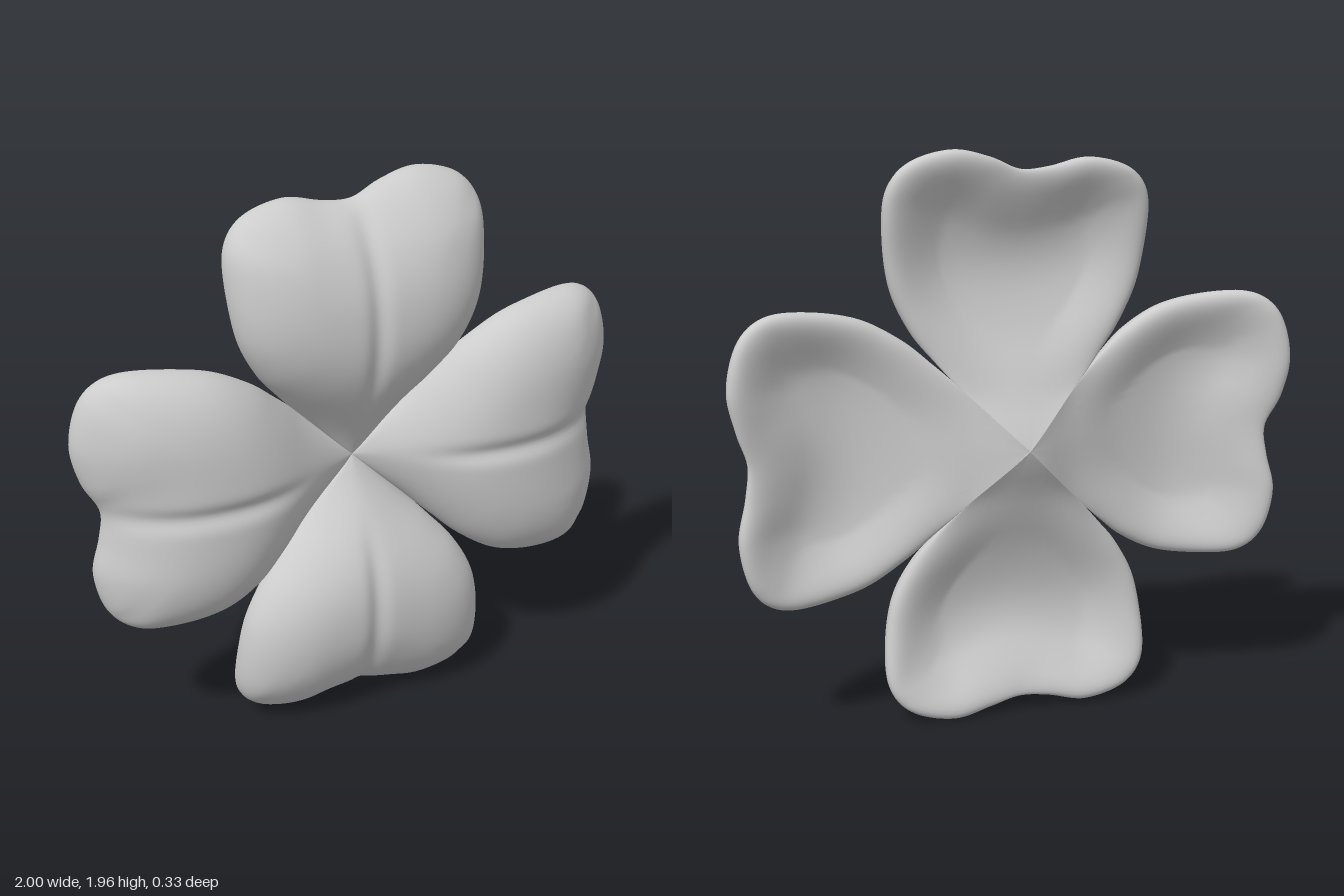
import * as THREE from 'three';

const RAYS = 128, RINGS = 28;

// Half outline of a heart-shaped leaf: u along the leaf, v across it
const HALF = [[0.24, 0.24], [0.3, 0.294], [0.4, 0.378], [0.55, 0.457], [0.75, 0.492], [0.88, 0.478],
  [0.962, 0.4], [0.998, 0.25], [0.97, 0.11]];

// Height profile sampled at u = 0, 0.2 ... 1
function profile(heights) {
  const curve = new THREE.SplineCurve(heights.map((z, i) => new THREE.Vector2(i * 0.2, z)));
  return (u) => curve.getPoint(THREE.MathUtils.clamp(u, 0, 1)).y;
}
const rimHeight = profile([-0.165, -0.07, -0.005, 0.0, -0.03, -0.065]);
const frontHeight = profile([-0.03, 0.09, 0.16, 0.17, 0.14, 0.075]);
const backHeight = profile([-0.165, -0.085, 0.005, 0.045, 0.02, -0.055]);

// Shortest distance from a point to a polyline
function distanceTo(line, x, y) {
  let best = Infinity;
  for (let i = 1; i < line.length; i++) {
    const a = line[i - 1], b = line[i];
    const dx = b.x - a.x, dy = b.y - a.y;
    const k = THREE.MathUtils.clamp(((x - a.x) * dx + (y - a.y) * dy) / (dx * dx + dy * dy), 0, 1);
    best = Math.min(best, Math.hypot(a.x + dx * k - x, a.y + dy * k - y));
  }
  return Math.max(best, 1e-6);
}

// Each lobe has its own reach and width
function lobe(side, [reach, wide]) {
  return HALF.map(([u, v]) => {
    const k = THREE.MathUtils.clamp((u - 0.25) / 0.4, 0, 1);
    return new THREE.Vector2(u * (1 + (reach - 1) * k), side * v * (1 + (wide - 1) * k));
  });
}

function leafGeometry(lobeA, lobeB, notch) {
  const points = [...lobe(1, lobeA), new THREE.Vector2(notch, 0), ...lobe(-1, lobeB).reverse()];
  const outline = new THREE.SplineCurve(points).getSpacedPoints(RAYS);
  const origin = new THREE.Vector2();
  // the rim as two sides and two lobe ends
  const mid = RAYS / 2, corner = Math.round(RAYS * 0.31);
  const edges = [
    [origin, ...outline.slice(0, corner + 1)],
    outline.slice(corner, mid + 1),
    outline.slice(mid, RAYS - corner + 1),
    [...outline.slice(RAYS - corner), origin],
  ];

  const front = [], back = [];
  for (const p of outline) {
    for (let i = 0; i <= RINGS; i++) {
      const t = Math.sin((i / RINGS) * Math.PI / 2);
      const u = p.x * t, v = p.y * t;
      // smooth distance to the rim
      const d = i === RINGS ? 0
        : edges.reduce((sum, edge) => sum + distanceTo(edge, u, v) ** -3.5, 0) ** (-1 / 3.5);
      const rim = rimHeight(u);
      const far = THREE.MathUtils.smoothstep(u, 0.15, 0.45);
      // domed front with a central groove, its seams raised where the leaves join
      const seam = rim + 0.11 * (1 - THREE.MathUtils.smoothstep(u, 0, 0.24));
      const dome = Math.sqrt(1 - (1 - Math.min(d / 0.3, 1)) ** 2);
      const groove = 0.02 * far * dome * Math.exp(-((v / 0.035) ** 2));
      front.push(u, v, seam + (frontHeight(u) - seam) * dome - groove);
      // cupped back with a soft rolled lip, fading towards the notch
      const cup = THREE.MathUtils.smoothstep(d, 0, 0.3);
      const roll = far * (0.5 + 0.5 * THREE.MathUtils.smoothstep(Math.abs(v), 0, 0.25));
      const lip = d < 0.18 ? 0.032 * roll * Math.sin(Math.PI * Math.sqrt(d / 0.18)) : 0;
      back.push(u, v, rim + (backHeight(u) - rim) * cup - lip);
    }
  }

  // Both sheets share their vertices along the rim
  const row = RINGS + 1, offset = row * (RAYS + 1), index = [];
  const backId = (s, i) => s * row + i + (i === RINGS ? 0 : offset);
  for (let s = 0; s < RAYS; s++) {
    for (let i = 0; i < RINGS; i++) {
      const a = s * row + i, b = a + row;
      if (i > 0) index.push(a, b, a + 1);
      index.push(b, b + 1, a + 1);
      const e = backId(s, i), f = backId(s + 1, i), g = backId(s, i + 1), h = backId(s + 1, i + 1);
      if (i > 0) index.push(e, g, f);
      index.push(f, g, h);
    }
  }
  const geometry = new THREE.BufferGeometry();
  geometry.setAttribute('position', new THREE.Float32BufferAttribute([...front, ...back], 3));
  geometry.setIndex(index);
  geometry.computeVertexNormals();
  return geometry;
}

export function createModel() {
  const group = new THREE.Group();
  group.name = 'fourLeafClover';
  const material = new THREE.MeshStandardMaterial({ color: 0xcccccc, side: THREE.DoubleSide });
  // [reach, width] of the two lobes and the notch, anticlockwise from the +x leaf
  const leaves = [
    ['leftLeaf', [1.0, 1.0], [0.975, 1.04], 0.935],
    ['topLeaf', [0.97, 0.95], [1.008, 0.94], 0.935],
    ['rightLeaf', [0.955, 0.94], [1.003, 0.985], 0.918],
    ['bottomLeaf', [0.96, 0.96], [0.945, 0.96], 0.908],
  ];
  leaves.forEach(([name, a, b, notch], i) => {
    const leaf = new THREE.Mesh(leafGeometry(a, b, notch), material);
    leaf.name = name;
    leaf.rotation.z = i * Math.PI / 2;
    leaf.position.y = 0.963;
    group.add(leaf);
  });
  return group;
}
